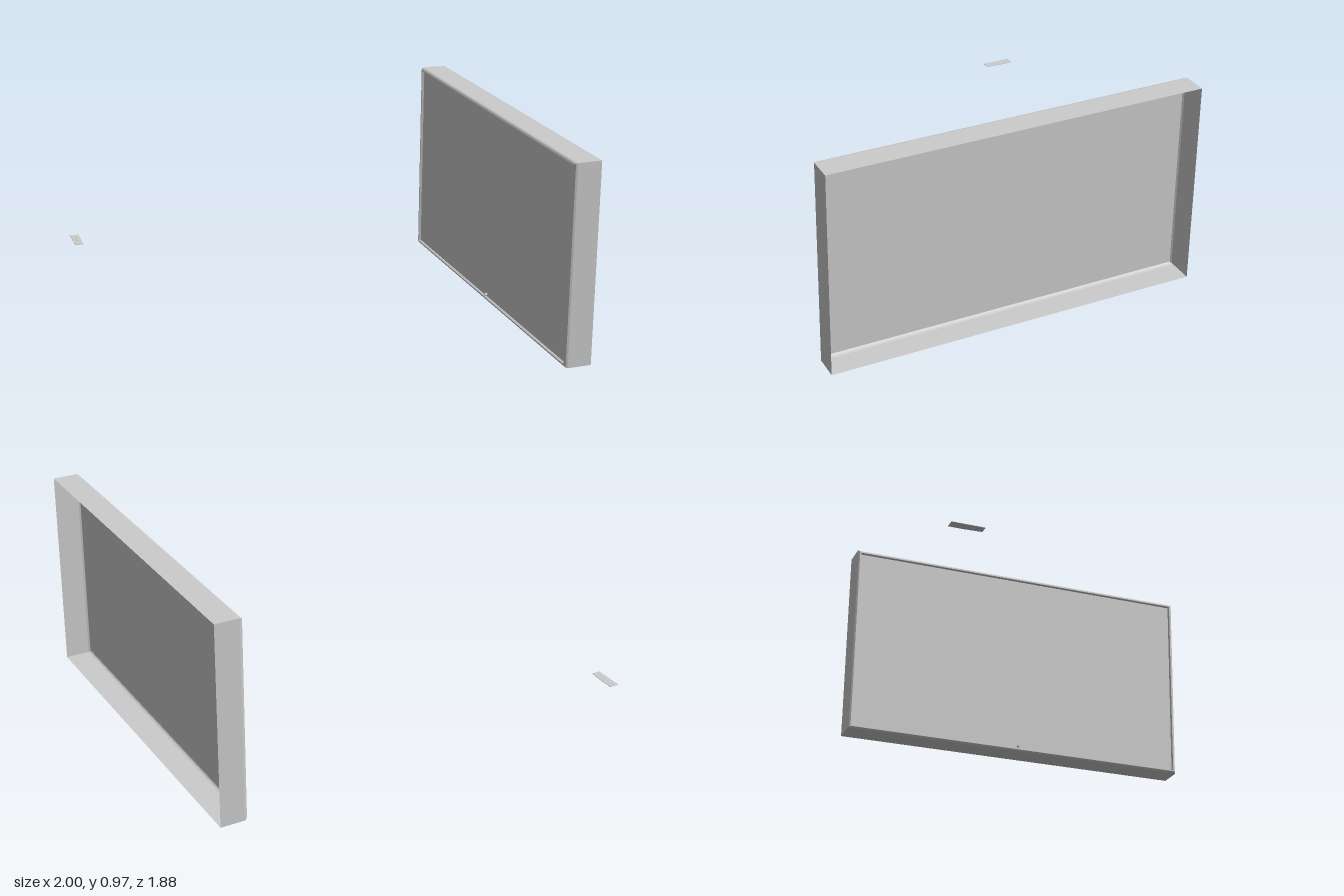
import * as THREE from 'three';

const Y0 = 0, Y1 = 0.97, Z0 = -0.83, Z1 = 0.94;

// Rectangle of four corners in the plane x, shrunk by inset
function ring(x, inset) {
  const a = Y0 + inset, b = Y1 - inset, c = Z0 + inset, d = Z1 - inset;
  return [[x, a, c], [x, a, d], [x, b, d], [x, b, c]];
}

// Flat-sided surface through successive rectangles
function loft(rings, cap) {
  const pos = [];
  const quad = (a, b, c, d) => pos.push(...a, ...b, ...c, ...a, ...c, ...d);
  for (let i = 0; i + 1 < rings.length; i++) {
    const p = rings[i], q = rings[i + 1];
    for (let k = 0; k < 4; k++) {
      const n = (k + 1) % 4;
      quad(p[k], p[n], q[n], q[k]);
    }
  }
  if (cap) quad(...rings[rings.length - 1]);
  const g = new THREE.BufferGeometry();
  g.setAttribute('position', new THREE.Float32BufferAttribute(pos, 3));
  g.computeVertexNormals();
  return g;
}

export function createModel() {
  const model = new THREE.Group();
  const mat = new THREE.MeshStandardMaterial({ color: 0xcccccc, side: THREE.DoubleSide });
  const add = (name, geo, parent = model) => {
    const m = new THREE.Mesh(geo, mat);
    m.name = name;
    parent.add(m);
    return m;
  };

  // Television, open at the back (+x), screen facing -x
  const tv = new THREE.Group();
  tv.name = 'television';
  model.add(tv);
  add('casing', loft([ring(1, 0), ring(0.884, 0), ring(0.875, 0.003), ring(0.869, 0.01)]), tv);
  add('bezel', loft([ring(0.869, 0.01), ring(0.869, 0.016), ring(0.88, 0.02)]), tv);
  add('screen', loft([ring(0.88, 0.02)], true), tv);

  // Small indicator lamp on the lower bezel
  const lamp = add('indicatorLamp', new THREE.CylinderGeometry(0.006, 0.006, 0.016, 12), tv);
  lamp.rotation.z = Math.PI / 2;
  lamp.position.set(0.873, 0.03, 0.06);

  // Thin remote control lying flat, narrowing towards the front
  const remote = new THREE.Group();
  remote.name = 'remoteControl';
  model.add(remote);
  const outline = new THREE.Shape([
    [-1, 0.945], [-0.955, 0.945], [-0.955, 0.88], [-0.96, 0.8], [-1, 0.8],
  ].map(([x, y]) => new THREE.Vector2(x, y)));
  const body = add('remoteBody', new THREE.ExtrudeGeometry(outline, { depth: 0.002, bevelEnabled: false }), remote);
  body.rotation.x = -Math.PI / 2;
  body.position.y = 0.213;

  // Nearly flush remote buttons
  for (const z of [-0.92, -0.89, -0.86]) {
    const b = add('remoteButton', new THREE.CylinderGeometry(0.005, 0.005, 0.001, 10), remote);
    b.position.set(-0.978, 0.2155, z);
  }
  return model;
}
